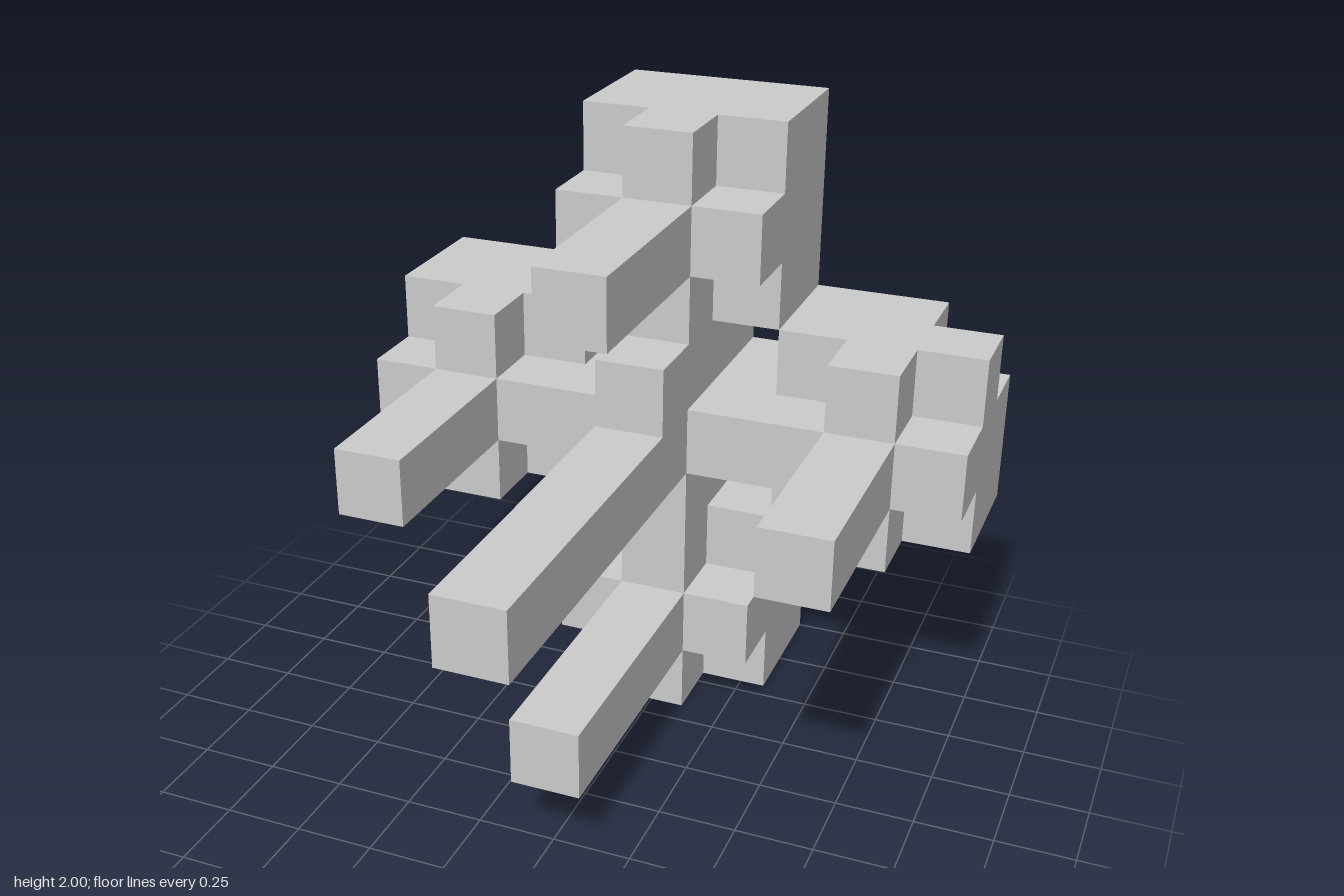
import * as THREE from 'three';

const CELL = 2 / 9; // the model sits on a 9 x 9 x 9 grid of cells
const material = new THREE.MeshStandardMaterial({ color: 0xcccccc, flatShading: true });

// Box given by its lowest cell corner and its size, both in cells (z counted from the back)
function block(parent, name, [x, y, z], [w, h, d]) {
  const mesh = new THREE.Mesh(new THREE.BoxGeometry(w * CELL, h * CELL, d * CELL), material);
  mesh.position.set((x + w / 2 - 4.5) * CELL, (y + h / 2) * CELL, (z + d / 2 - 4.5) * CELL);
  mesh.name = name;
  parent.add(mesh);
}

// Plus-shaped slab filling the middle row and column of a 3 x 3 field
function plus(parent, name, x, y, z, depth) {
  block(parent, name + 'Column', [x + 1, y, z], [1, 3, depth]);
  block(parent, name + 'LeftStub', [x + 2, y + 1, z], [1, 1, depth]);
  block(parent, name + 'RightStub', [x, y + 1, z], [1, 1, depth]);
}

export function createModel() {
  const model = new THREE.Group();
  model.name = 'blockCross';

  // Four arms: solid body, plus-shaped front and a forward bar
  const arms = [
    { name: 'topArm', x: 3, y: 6, bar: 3 },
    { name: 'bottomArm', x: 3, y: 0, bar: 4 },
    { name: 'rightArm', x: 0, y: 3, bar: 3 },
    { name: 'leftArm', x: 6, y: 3, bar: 3, notched: true },
  ];
  for (const { name, x, y, bar, notched } of arms) {
    const arm = new THREE.Group();
    arm.name = name;
    if (notched) {
      // The upper outer cell is missing at the back
      block(arm, 'bodyFront', [x, y, 1], [3, 3, 1]);
      block(arm, 'bodyBackLower', [x, y, 0], [3, 2, 1]);
      block(arm, 'bodyBackUpper', [x, y + 2, 0], [2, 1, 1]);
    } else {
      block(arm, 'body', [x, y, 0], [3, 3, 2]);
    }
    plus(arm, 'front', x, y, 2, 1);
    block(arm, 'bar', [x + 1, y + 1, 3], [1, 1, bar]);
    model.add(arm);
  }

  // Centre: plus with open corners, the longest bar and a small cube above it
  const centre = new THREE.Group();
  centre.name = 'centre';
  plus(centre, 'core', 3, 3, 0, 3);
  block(centre, 'longBar', [4, 4, 3], [1, 1, 6]);
  block(centre, 'smallCube', [4, 5, 3], [1, 1, 1]);
  model.add(centre);

  return model;
}
